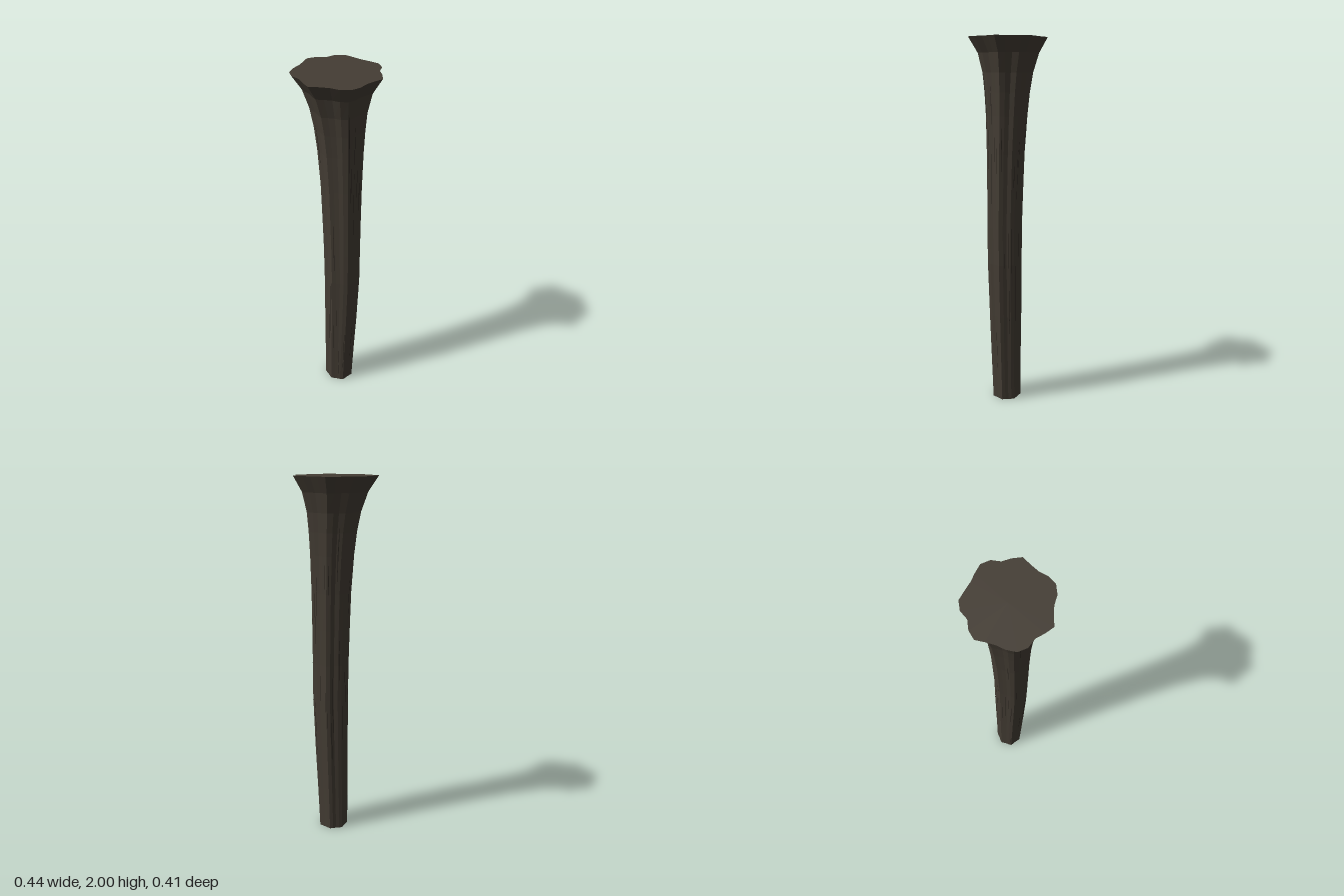
import * as THREE from 'three';

// Fluted outline of the flared crown as x, z pairs: seven lobes, four points each
const OUTLINE = [
  [0, -0.206], [0.048, -0.183], [0.087, -0.163], [0.13, -0.148],
  [0.175, -0.128], [0.197, -0.086], [0.193, -0.04], [0.21, 0.002],
  [0.219, 0.05], [0.182, 0.088], [0.155, 0.12], [0.134, 0.162],
  [0.099, 0.195], [0.048, 0.203], [0, 0.191], [-0.05, 0.191],
  [-0.099, 0.195], [-0.13, 0.158], [-0.155, 0.12], [-0.198, 0.092],
  [-0.219, 0.05], [-0.211, 0.002], [-0.193, -0.04], [-0.183, -0.083],
  [-0.175, -0.128], [-0.135, -0.154], [-0.085, -0.163], [-0.049, -0.196],
];
const N = OUTLINE.length;

// Rings up the trunk: height, half width, centre x, centre z
const RINGS = [
  [0, 0.0825, 0.0125, 0.0075], [0.25, 0.088, 0.019, 0.011],
  [0.5, 0.094, 0.026, 0.0135], [0.8, 0.0995, 0.0325, 0.017],
  [1.0, 0.1005, 0.0315, 0.0175], [1.2, 0.1035, 0.0285, 0.0145],
  [1.4, 0.1075, 0.0255, 0.0115], [1.6, 0.117, 0.02, 0.0065],
  [1.72, 0.127, 0.0155, 0.004], [1.82, 0.141, 0.0095, 0.001],
  [1.92, 0.17, 0.003, -0.002], [2, 0.219, 0, 0],
];

// Outline point j on ring i; the flutes soften to a plain heptagon at the foot
function ringPoint(i, j, grow = 0) {
  const [y, half, cx, cz] = RINGS[i];
  const k = ((j % N) + N) % N;
  const lobe = Math.floor(k / 4), t = (k % 4) / 4;
  const corner = (n) => [Math.sin(n * Math.PI * 2 / 7) * 0.221, -Math.cos(n * Math.PI * 2 / 7) * 0.212];
  const a = corner(lobe), b = corner(lobe + 1);
  const w = 0.4 + 0.6 * (y / 2);
  const s = half / 0.219 + grow;
  const mix = (c) => THREE.MathUtils.lerp(a[c] + (b[c] - a[c]) * t, OUTLINE[k][c], w) * s;
  return new THREE.Vector3(cx + mix(0), y, cz + mix(1));
}

// Any point on the bark, for a fractional outline position and a height
function barkPoint(j, y, grow) {
  let i = 0;
  while (i < RINGS.length - 2 && RINGS[i + 1][0] < y) i++;
  const v = (y - RINGS[i][0]) / (RINGS[i + 1][0] - RINGS[i][0]);
  const j0 = Math.floor(j), u = j - j0;
  const low = ringPoint(i, j0, grow).lerp(ringPoint(i, j0 + 1, grow), u);
  const high = ringPoint(i + 1, j0, grow).lerp(ringPoint(i + 1, j0 + 1, grow), u);
  return low.lerp(high, v);
}

// Unshared corners give faceted normals
function facetedMesh(points, material, name) {
  const geometry = new THREE.BufferGeometry().setFromPoints(points);
  geometry.computeVertexNormals();
  const mesh = new THREE.Mesh(geometry, material);
  mesh.name = name;
  return mesh;
}

export function createModel() {
  const group = new THREE.Group();
  group.name = 'trunk';
  const bark = new THREE.MeshStandardMaterial({ name: 'dark brown bark', color: 0x443d34 });
  const crackColor = new THREE.MeshStandardMaterial({ name: 'crack brown', color: 0x2a251f });

  // Fluted side wall
  const wall = [];
  for (let i = 0; i < RINGS.length - 1; i++) {
    for (let j = 0; j < N; j++) {
      const a = ringPoint(i, j), b = ringPoint(i, j + 1);
      const c = ringPoint(i + 1, j), d = ringPoint(i + 1, j + 1);
      wall.push(a, c, b, b, c, d);
    }
  }
  group.add(facetedMesh(wall, bark, 'trunkWall'));

  // Flat ends
  const topCap = [], bottomCap = [];
  const last = RINGS.length - 1;
  const centre = (i) => new THREE.Vector3(RINGS[i][2], RINGS[i][0], RINGS[i][3]);
  for (let j = 0; j < N; j++) {
    topCap.push(centre(last), ringPoint(last, j + 1), ringPoint(last, j));
    bottomCap.push(centre(0), ringPoint(0, j), ringPoint(0, j + 1));
  }
  group.add(facetedMesh(topCap, bark, 'topCap'), facetedMesh(bottomCap, bark, 'bottomCap'));

  // Thin tapering cracks scattered along the grain
  let seed = 11;
  const random = () => (seed = (seed * 16807) % 2147483647) / 2147483647;
  const cracks = [];
  for (let n = 0; n < 42; n++) {
    const j = (n * 11) % N + 0.25 + random() * 0.5;
    const start = 0.03 + random() * 1.5;
    const length = 0.12 + random() * 0.25;
    const steps = 6;
    const edge = (s, side) => {
      const width = 0.075 * Math.sin(Math.PI * (0.08 + 0.84 * s / steps));
      return barkPoint(j + side * width, start + length * s / steps, 0.008);
    };
    for (let s = 0; s < steps; s++) {
      const a = edge(s, -1), b = edge(s, 1), c = edge(s + 1, -1), d = edge(s + 1, 1);
      cracks.push(a, c, b, b, c, d);
    }
  }
  group.add(facetedMesh(cracks, crackColor, 'barkCracks'));

  return group;
}
